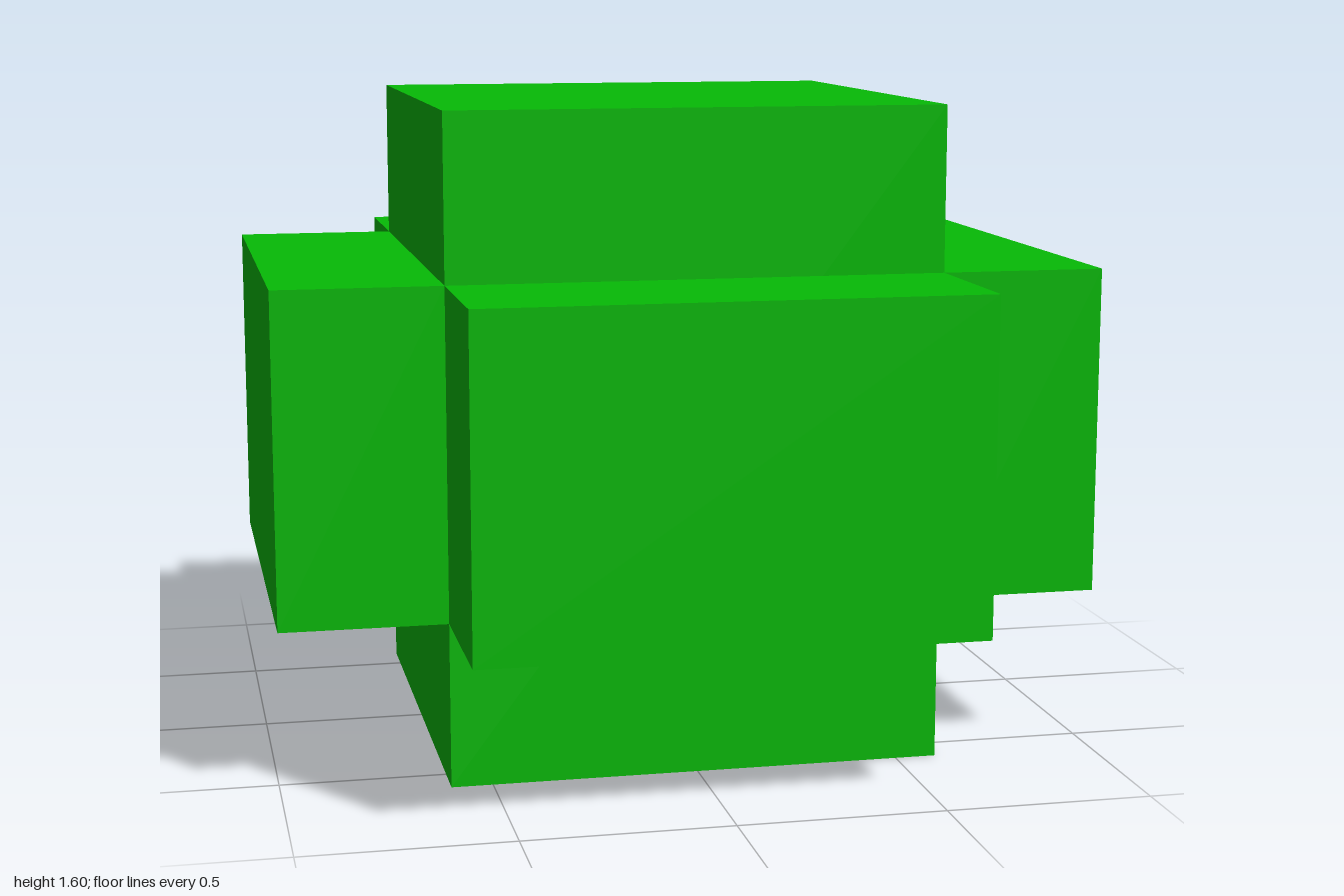
import * as THREE from 'three';

export function createModel() {
  const model = new THREE.Group();
  model.name = 'steppedBlock';

  const green = new THREE.MeshStandardMaterial({ color: 0x06ba06 });
  green.name = 'green';

  const addBox = (name, w, h, d, x, y, z) => {
    const mesh = new THREE.Mesh(new THREE.BoxGeometry(w, h, d), green);
    mesh.name = name;
    mesh.position.set(x, y, z);
    model.add(mesh);
  };

  // Tall square core, from the ground to the top
  addBox('core', 1.2, 1.6, 1.2, 0, 0.8, 0);

  // Four slabs at mid height, one against each side of the core
  for (const s of [1, -1]) {
    addBox(s > 0 ? 'leftSlab' : 'rightSlab', 0.4, 0.8, 1.2, s * 0.8, 0.8, 0);
    addBox(s > 0 ? 'frontSlab' : 'backSlab', 1.2, 0.8, 0.4, 0, 0.8, s * 0.8);
  }

  return model;
}
